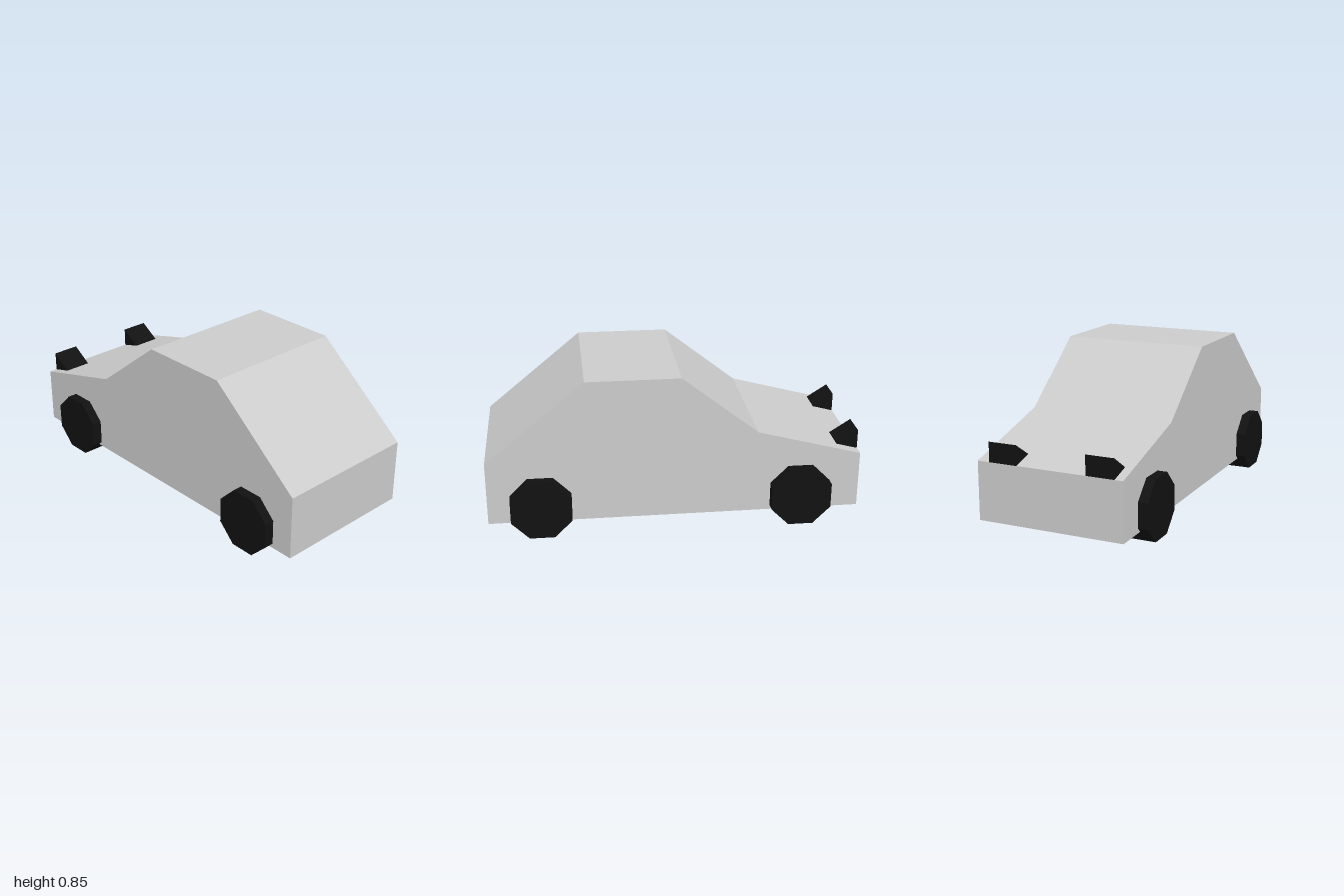
import * as THREE from 'three';

const grey = new THREE.MeshStandardMaterial({ color: 0xcccccc, flatShading: true });
const black = new THREE.MeshStandardMaterial({ color: 0x111111, flatShading: true });

// Sweeps a side profile of [z, y] points across the car from x0 to x1
function sideExtrusion(name, profile, x0, x1, material) {
  const shape = new THREE.Shape(profile.map(([z, y]) => new THREE.Vector2(-z, y)));
  const geometry = new THREE.ExtrudeGeometry(shape, { depth: x1 - x0, bevelEnabled: false });
  geometry.rotateY(Math.PI / 2).translate(x0, 0, 0);
  const mesh = new THREE.Mesh(geometry, material);
  mesh.name = name;
  return mesh;
}

// Octagonal wheel standing on a flat side
function wheel(name, x, z) {
  const apothem = 0.162;
  const geometry = new THREE.CylinderGeometry(1, 1, 0.14, 8);
  const radius = apothem / Math.cos(Math.PI / 8);
  geometry.scale(radius, 1, radius).rotateY(Math.PI / 8).rotateZ(Math.PI / 2);
  const mesh = new THREE.Mesh(geometry, black);
  mesh.name = name;
  mesh.position.set(x, apothem, z);
  return mesh;
}

export function createModel() {
  const car = new THREE.Group();
  car.name = 'car';

  // Body: one slab with the cabin and the sloping lid in its outline
  const outline = [
    [1, 0.07], [1, 0.417], [0.47, 0.852], [-0.03, 0.852],
    [-0.44, 0.53], [-1, 0.38], [-1, 0.07],
  ];
  car.add(sideExtrusion('body', outline, -0.401, 0.397, grey));

  // Wheels, partly sunk into the body
  for (const [side, x] of [['Left', 0.384], ['Right', -0.384]]) {
    car.add(wheel('front' + side + 'Wheel', x, 0.717));
    car.add(wheel('rear' + side + 'Wheel', x, -0.677));
  }

  // Wedge lights on the sloping lid
  const wedge = [[-0.885, 0.411], [-1, 0.485], [-1, 0.38]];
  car.add(sideExtrusion('leftLight', wedge, 0.175, 0.33, black));
  car.add(sideExtrusion('rightLight', wedge, -0.355, -0.203, black));

  return car;
}
